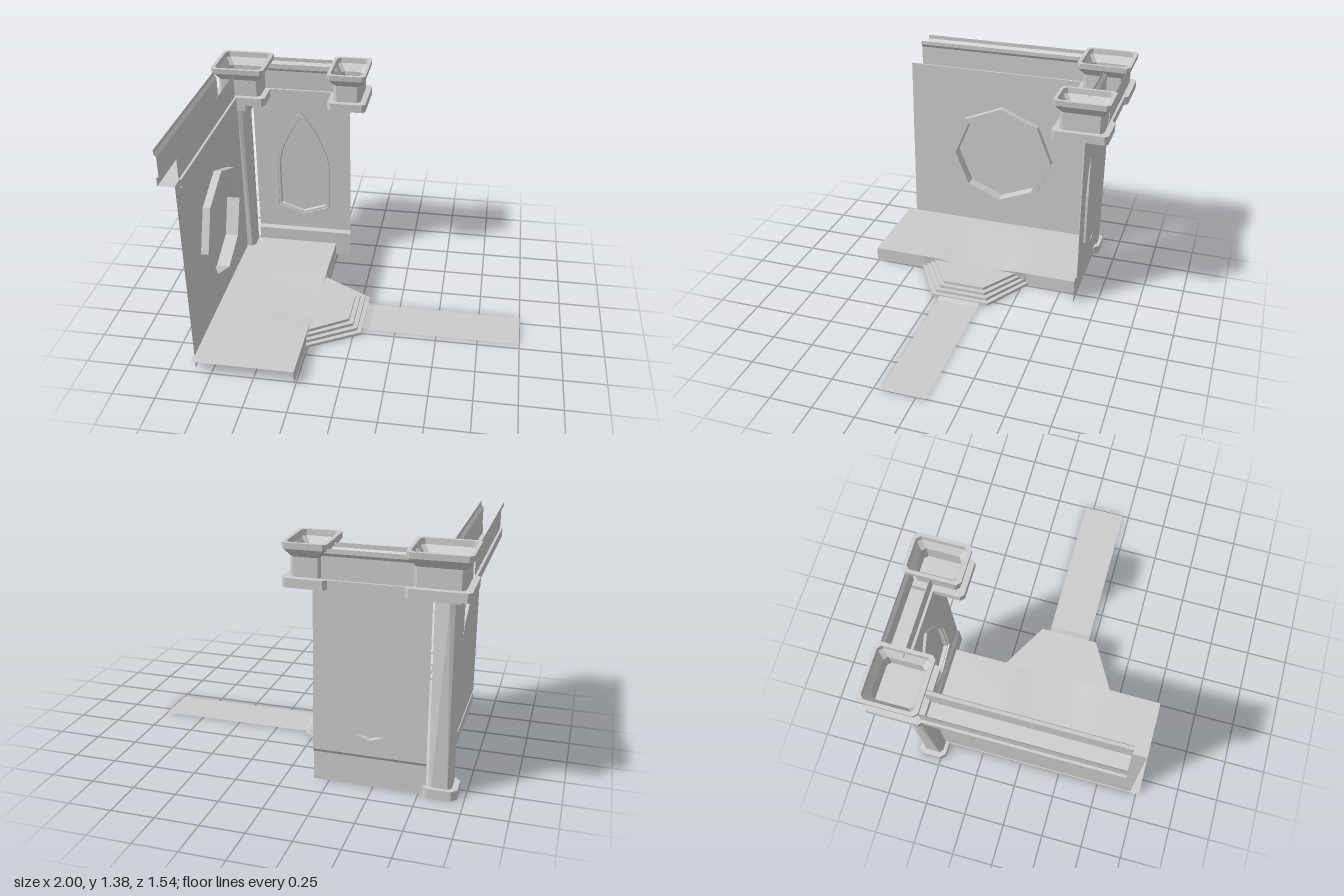
import * as THREE from 'three';

const mat = new THREE.MeshStandardMaterial({ color: 0xcccccc, flatShading: true, side: THREE.DoubleSide });

// Skins a list of equal-length point rings, optionally closing each ring and capping the ends.
function loft(rings, { closed = true, capStart = false, capEnd = false } = {}) {
  const pos = [];
  const tri = (a, b, c) => pos.push(...a, ...b, ...c);
  const n = rings[0].length;
  const last = closed ? n : n - 1;
  for (let i = 0; i < rings.length - 1; i++) {
    for (let j = 0; j < last; j++) {
      const k = (j + 1) % n, p = rings[i], q = rings[i + 1];
      tri(p[j], p[k], q[k]);
      tri(p[j], q[k], q[j]);
    }
  }
  const cap = (ring, flip) => {
    const c = [0, 1, 2].map(a => ring.reduce((s, p) => s + p[a], 0) / n);
    for (let j = 0; j < n; j++) {
      const a = ring[j], b = ring[(j + 1) % n];
      flip ? tri(c, b, a) : tri(c, a, b);
    }
  };
  if (capStart) cap(rings[0], true);
  if (capEnd) cap(rings[rings.length - 1], false);
  const g = new THREE.BufferGeometry();
  g.setAttribute('position', new THREE.Float32BufferAttribute(pos, 3));
  g.computeVertexNormals();
  return g;
}

// Horizontal rectangle with cut corners, counter-clockwise seen from above.
function rectRing(cx, cz, hx, hz, cut, y, turn = 0) {
  const c = Math.cos(turn), s = Math.sin(turn);
  return [[hx, hz - cut], [hx, cut - hz], [hx - cut, -hz], [cut - hx, -hz],
    [-hx, cut - hz], [-hx, hz - cut], [cut - hx, hz], [hx - cut, hz]]
    .map(([x, z]) => [cx + x * c - z * s, y, cz + x * s + z * c]);
}

// Octagon standing in the side wall, corner upward.
const OCT = { y: 0.605, z: 0.077 };
const octagon = r => Array.from({ length: 8 }, (_, i) => {
  const a = i * Math.PI / 4;
  return [OCT.z + r * Math.cos(a), OCT.y + r * Math.sin(a)];
});

// Pointed window outline, moved inward by o.
function archOutline(o) {
  const w = 0.18 - o, spring = 0.685, rise = 0.375 - 1.7 * o, cx = -0.48;
  const right = [[w, 0.355 + 0.6 * o], [w, spring]];
  for (let i = 1; i < 5; i++) {
    const t = i / 5;
    right.push([w * (1 - 0.35 * t - 0.65 * t * t), spring + rise * t]);
  }
  const left = right.map(([x, y]) => [-x, y]).reverse();
  return [[0, 0.29 + o], ...right, [0, spring + rise], ...left].map(([x, y]) => [cx + x, y]);
}

function shapeWithHole(outer, hole) {
  const v = a => a.map(p => new THREE.Vector2(...p));
  const s = new THREE.Shape(v(outer));
  s.holes.push(new THREE.Path(v(hole)));
  return new THREE.ShapeGeometry(s);
}

export function createModel() {
  const model = new THREE.Group();
  const add = (name, geo) => {
    const m = new THREE.Mesh(geo, mat);
    m.name = name;
    model.add(m);
    return m;
  };

  // Side wall with octagonal opening
  const side = add('sideWall', shapeWithHole([[-0.49, 0], [0.71, 0], [0.71, 1.2], [-0.49, 1.2]], octagon(0.315)));
  side.rotation.y = -Math.PI / 2;
  side.position.x = -0.855;

  // Octagonal frame inside, shallow bay and pane outside
  const oct = (r, x) => octagon(r).map(([z, y]) => [x, y, z]);
  add('octagonalWindow', loft([oct(0.355, -0.855), oct(0.355, -0.81), oct(0.315, -0.81), oct(0.315, -0.89)], { capEnd: true }));

  // Back wall with pointed opening and stepped base
  add('backWall', shapeWithHole([[-0.79, 0.19], [-0.16, 0.19], [-0.16, 1.15], [-0.79, 1.15]], archOutline(0))).position.z = -0.62;
  add('backWallBase', loft([-0.79, -0.16].map(x =>
    [[x, 0.19, -0.62], [x, 0.17, -0.606], [x, 0, -0.606]]), { closed: false }));

  // Stepped window frame, pane and backing panel
  const arch = (o, z) => archOutline(o).map(([x, y]) => [x, y, z]);
  add('pointedWindow', loft([
    arch(0, -0.637), arch(0, -0.603), arch(0.016, -0.603), arch(0.016, -0.612),
    arch(0.028, -0.612), arch(0.032, -0.635)], { capEnd: true }));
  const panel = add('windowBacking', new THREE.PlaneGeometry(0.4, 0.75));
  panel.rotation.y = Math.PI;
  panel.position.set(-0.47, 0.695, -0.64);

  // Corner column with a twisted shaft
  const block = (name, y0, y1) => add(name, loft(
    [y0, y1].map(y => rectRing(-0.865, -0.555, 0.095, 0.085, 0.03, y)), { capStart: true, capEnd: true }));
  block('columnBase', 0, 0.055);
  block('columnCapital', 1.1, 1.15);
  add('columnShaft', loft([[0.055, 0.063, 0], [1.1, 0.063, 0.45]].map(([y, h, turn]) =>
    rectRing(-0.865, -0.555, h, h, 0.02, y, turn))));

  // Parapets: hollow channels with a foot band and a flared rim
  const half = [[0.068, 1.362], [0.068, 1.338], [0.054, 1.32], [0.054, 1.2], [0.068, 1.2], [0.068, 1.15]];
  const channel = [...half, ...half.map(([a, y]) => [-a, y]).reverse()];
  add('sideParapet', loft([-0.46, 0.635].map(z =>
    channel.map(([a, y]) => [-0.914 + a, y, z])), { closed: false }));
  add('backParapet', loft([-0.71, -0.24].map(x =>
    channel.map(([a, y]) => [x, y, -0.682 + a])), { closed: false }));

  // Open turrets above the wall ends
  const turretSteps = [[0, 1.15], [0, 1.2], [0.035, 1.2], [0.035, 1.305], [0.002, 1.35], [0, 1.383],
    [0.02, 1.383], [0.022, 1.35], [0.05, 1.305], [0.05, 1.2]];
  for (const [name, cx, hx] of [['cornerTurret', -0.835, 0.165], ['endTurret', -0.157, 0.119]]) {
    add(name, loft(turretSteps.map(([inset, y]) =>
      rectRing(cx, -0.608, hx - inset, 0.163 - inset, 0.02, y)), { capStart: true, capEnd: true }));
  }

  // Floor, sagging gently towards the steps
  const sag = (x, z) => 0.085 - 0.013 *
    THREE.MathUtils.smoothstep(x, -0.75, -0.3) * (1 - THREE.MathUtils.smoothstep(Math.abs(z - 0.077), 0.13, 0.29));
  const floorGeo = new THREE.PlaneGeometry(0.6, 1.37, 10, 24).rotateX(-Math.PI / 2).translate(-0.56, 0, 0.08);
  const fp = floorGeo.attributes.position;
  for (let i = 0; i < fp.count; i++) fp.setY(i, sag(fp.getX(i), fp.getZ(i)));
  floorGeo.computeVertexNormals();
  const floor = add('floor', floorGeo);
  floor.material = new THREE.MeshStandardMaterial({ color: 0xcccccc, side: THREE.DoubleSide });

  // Floor skirts on both sides of the steps
  for (const [z0, z1] of [[-0.605, -0.27], [0.425, 0.765]]) {
    add('floorSkirt', loft([z0, z1].map(z => [[-0.26, 0, z], [-0.26, 0.085, z]]), { closed: false }));
  }

  // Angled steps: treads and risers from the floor edge down
  const outline = (k, y) => {
    const wide = 0.275 + 0.029 * k, tip = 0.13 + 0.018 * k, x = -0.035 + 0.028 * k;
    return [[-0.26, y, 0.077 + wide], [x, y, 0.077 + tip], [x, y, 0.077 - tip], [-0.26, y, 0.077 - wide]];
  };
  const levels = [0.072, 0.054, 0.036, 0.018, 0];
  const stepRings = [];
  for (let k = 0; k < 4; k++) stepRings.push(outline(k, levels[k]), outline(k, levels[k + 1]));
  add('steps', loft(stepRings, { closed: false }));
  add('landing', loft([outline(0, 0.072).slice(0, 2), outline(0, 0.072).slice(2).reverse()], { closed: false }));

  // Path leading away
  add('path', loft([[0.045, 0.012], [0.085, 0.002], [1, 0.001]].map(([x, y]) =>
    [[x, y, 0.21], [x, y, -0.055]]), { closed: false }));

  return model;
}
